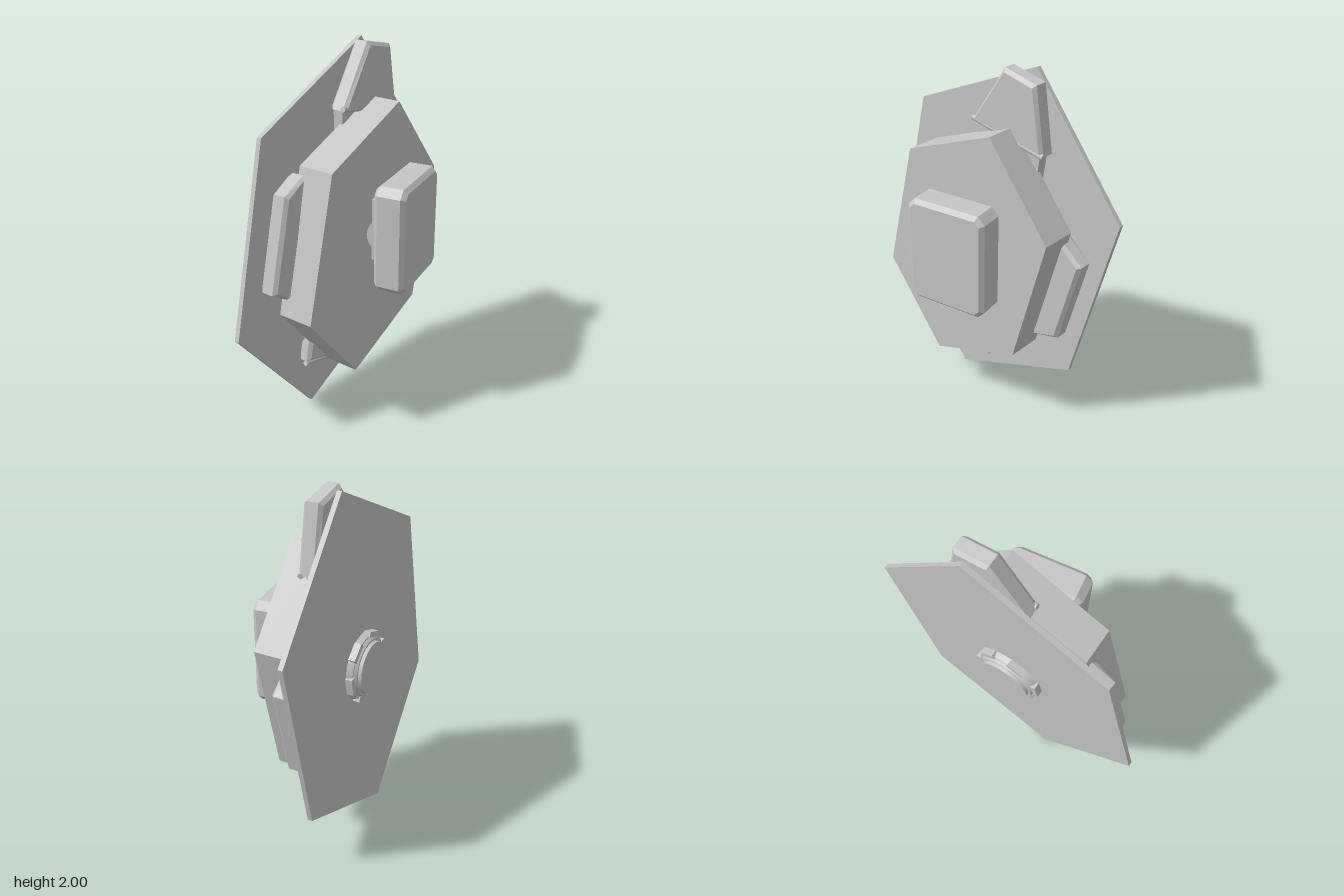
import * as THREE from 'three';

const grey = new THREE.MeshStandardMaterial({ color: 0xc6c6c6 });
grey.name = 'light grey';

// Polygon of [z, y] corners, extruded along x from x0 to x1, with optional chamfer.
function slab(name, points, x0, x1, bevel = 0) {
  const shape = new THREE.Shape(points.map(([z, y]) => new THREE.Vector2(-z, y)));
  const geo = new THREE.ExtrudeGeometry(shape, {
    depth: x1 - x0 - 2 * bevel,
    bevelEnabled: bevel > 0,
    bevelThickness: bevel,
    bevelSize: bevel,
    bevelOffset: -bevel,
    bevelSegments: 1,
  });
  geo.translate(0, 0, x0 + bevel).rotateY(Math.PI / 2);
  const mesh = new THREE.Mesh(geo, grey);
  mesh.name = name;
  return mesh;
}

// Disc whose axis runs along x; r0 is the radius at x0, r1 at x1.
function disc(name, r0, r1, x0, x1, sides = 32) {
  const geo = new THREE.CylinderGeometry(r1, r0, x1 - x0, sides);
  geo.rotateZ(-Math.PI / 2).translate((x0 + x1) / 2, 0, 0);
  const mesh = new THREE.Mesh(geo, grey);
  mesh.name = name;
  return mesh;
}

function rod(name, a, b, r) {
  const dir = b.clone().sub(a);
  const mesh = new THREE.Mesh(new THREE.CylinderGeometry(r, r, dir.length(), 10), grey);
  mesh.position.copy(a).add(b).multiplyScalar(0.5);
  mesh.quaternion.setFromUnitVectors(new THREE.Vector3(0, 1, 0), dir.normalize());
  mesh.name = name;
  return mesh;
}

function box(name, size, pos) {
  const mesh = new THREE.Mesh(new THREE.BoxGeometry(...size), grey);
  mesh.position.set(...pos);
  mesh.name = name;
  return mesh;
}

// Completes a hexagon from three corners by point symmetry.
const hexagon = (half) => [...half, ...half.map(([z, y]) => [-z, -y])];

export function createModel() {
  const model = new THREE.Group();
  model.name = 'hexagonalPanel';

  // Everything but the front box is turned slightly about the vertical
  const panel = new THREE.Group();
  panel.name = 'tiltedPanel';
  panel.position.set(-0.185, 1, 0);
  panel.rotation.y = -0.172;
  model.add(panel);

  // Large thin plate and the thick smaller body before it
  panel.add(slab('backPlate', hexagon([[0.54, 0.66], [-0.244, 0.997], [-0.78, 0.33]]), -0.013, 0.013));
  panel.add(slab('body', hexagon([[0.366, 0.49], [-0.19, 0.71], [-0.557, 0.25]]), 0.092, 0.289));
  panel.add(disc('innerHub', 0.2, 0.2, 0, 0.1));

  // Four blocks showing around the body
  const blocks = {
    frontBlock: [[0.52, 0.385], [0.38, 0.45], [0.51, -0.18], [0.64, -0.095]],
    rearBlock: [[-0.655, 0.10], [-0.505, 0.22], [-0.37, -0.43], [-0.535, -0.38]],
    topBlock: [[-0.14, 1.0], [-0.335, 0.955], [-0.39, 0.61], [0.065, 0.69]],
    bottomBlock: [[0.35, -0.52], [0.375, -0.63], [-0.02, -0.76], [-0.055, -0.73], [-0.075, -0.58]],
  };
  for (const [name, pts] of Object.entries(blocks)) {
    panel.add(slab(name, pts, 0.04, name === 'bottomBlock' ? 0.115 : 0.14, 0.018));
  }

  // Necks joining the top and bottom blocks to the body, with hinge rods
  panel.add(slab('topNeck', [[0.05, 0.69], [-0.36, 0.61], [-0.34, 0.46], [0.05, 0.52]], 0.055, 0.11));
  panel.add(slab('bottomNeck', [[0.32, -0.32], [-0.04, -0.4], [-0.04, -0.6], [0.32, -0.54]], 0.04, 0.085));
  const v = (x, y, z) => new THREE.Vector3(x, y, z);
  panel.add(rod('topHingeRod', v(0.125, 0.7, 0.065), v(0.125, 0.61, -0.39), 0.015));
  panel.add(rod('bottomHingeRod', v(0.09, -0.645, 0.375), v(0.09, -0.755, -0.03), 0.014));

  // Stepped round boss on the back
  const boss = new THREE.Group();
  boss.name = 'backBoss';
  boss.add(disc('bossRing', 0.175, 0.19, -0.045, -0.01));
  boss.add(disc('bossStep', 0.155, 0.17, -0.06, -0.04));
  boss.add(disc('bossCap', 0.14, 0.145, -0.078, -0.055));
  for (let i = 0; i < 6; i++) {
    const lug = box('bossLug', [0.04, 0.03, 0.1], [-0.032, 0, 0]);
    const a = (i * Math.PI) / 3 + 0.3;
    lug.position.y = 0.175 * Math.cos(a);
    lug.position.z = 0.175 * Math.sin(a);
    lug.rotation.x = a;
    boss.add(lug);
  }
  panel.add(boss);

  // Mount and upright chamfered box on the outer face
  model.add(box('mountPlate', [0.1, 0.34, 0.2], [0.15, 1.09, 0.01]));
  const pivot = new THREE.Mesh(new THREE.CylinderGeometry(0.095, 0.095, 0.26, 20), grey);
  pivot.name = 'mountPivot';
  pivot.rotation.x = Math.PI / 2;
  pivot.position.set(0.185, 1.08, 0.02);
  model.add(pivot);
  const w = 0.225, c = 0.04, lo = 0.795, hi = 1.375;
  model.add(slab('frontBox', [
    [w - c, hi], [-w + c, hi], [-w, hi - c], [-w, lo + c],
    [-w + c, lo], [w - c, lo], [w, lo + c], [w, hi - c],
  ], 0.158, 0.327, 0.022));

  return model;
}
